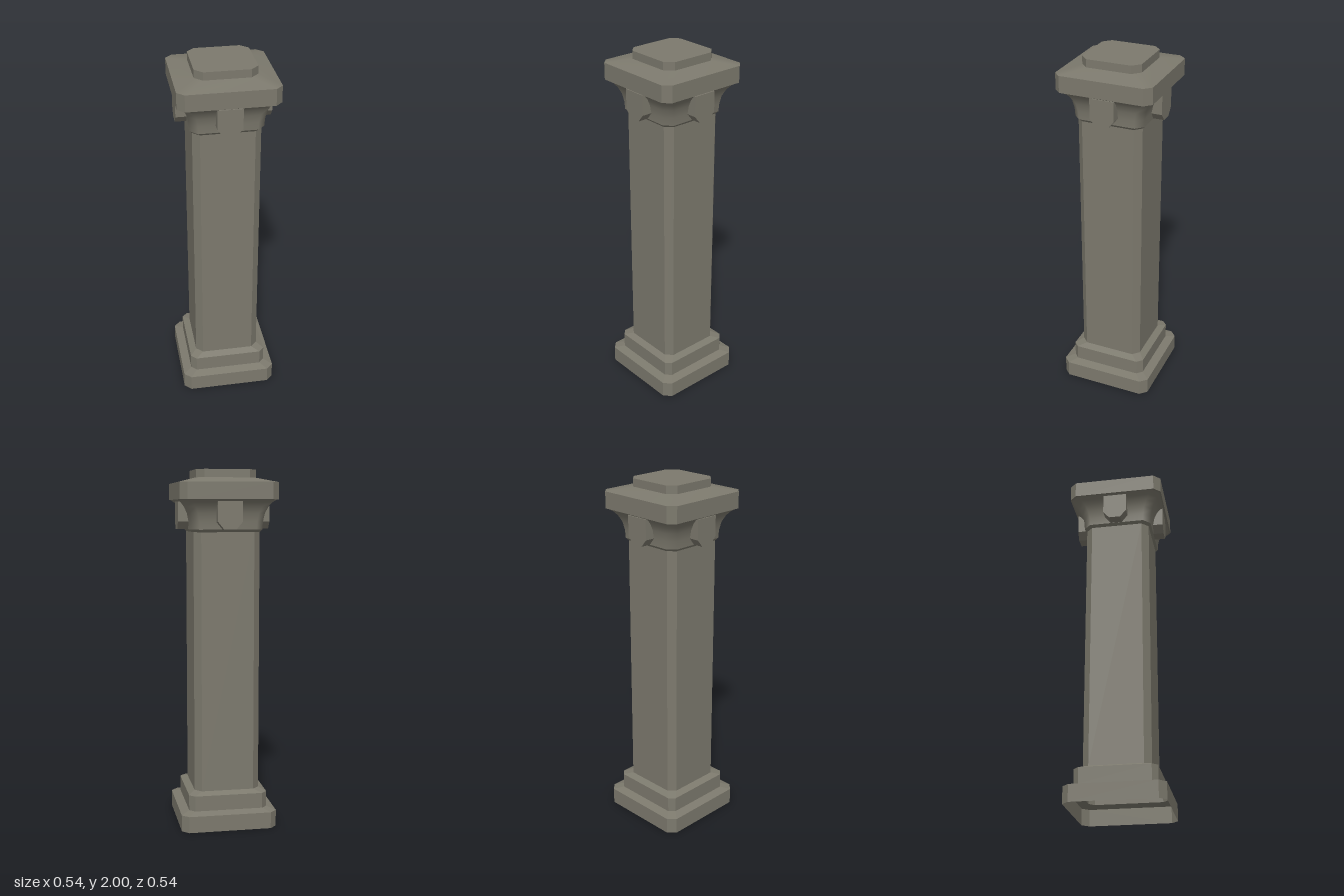
import * as THREE from 'three';

// Corners of a square with chamfered corners: half width a, chamfer c
function ring([a, y, c]) {
  const b = a - c;
  return [[b, a], [a, b], [a, -b], [b, -a], [-b, -a], [-a, -b], [-a, b], [-b, a]]
    .map(([x, z]) => [x, y, z]);
}

// Skin a stack of rings [half width, height, chamfer], listed from bottom to top
function loft(rings, smooth = false, capTop = false) {
  const pos = rings.flatMap(r => ring(r).flat());
  const idx = [];
  for (let i = 0; i < rings.length - 1; i++) {
    for (let j = 0; j < 8; j++) {
      const a = i * 8 + j, b = i * 8 + (j + 1) % 8;
      idx.push(a, b, b + 8, a, b + 8, a + 8);
    }
  }
  if (capTop) {
    const t = (rings.length - 1) * 8;
    for (let j = 1; j < 7; j++) idx.push(t, t + j, t + j + 1);
  }
  let g = new THREE.BufferGeometry();
  g.setAttribute('position', new THREE.Float32BufferAttribute(pos, 3));
  g.setIndex(idx);
  if (!smooth) g = g.toNonIndexed();
  g.computeVertexNormals();
  return g;
}

export function createModel() {
  const model = new THREE.Group();
  model.name = 'pillar';
  const stone = new THREE.MeshStandardMaterial({ color: 0x7c796d, side: THREE.DoubleSide });
  stone.name = 'grey stone';

  const add = (name, geometry, parent = model) => {
    const mesh = new THREE.Mesh(geometry, stone);
    mesh.name = name;
    parent.add(mesh);
    return mesh;
  };

  // Hollow stepped base, open underneath
  add('lowerPlinth', loft([[0.27, 0, 0.038], [0.27, 0.093, 0.038], [0.222, 0.107, 0.03]]));
  add('upperPlinth', loft([[0.222, 0.107, 0.03], [0.222, 0.194, 0.03], [0.184, 0.21, 0.037]]));

  // Long chamfered shaft
  add('shaft', loft([[0.184, 0.21, 0.037], [0.184, 1.662, 0.037]]));

  // Capital: small lip, then a concave flare up to the slab
  add('capitalLip', loft([[0.184, 1.662, 0.037], [0.197, 1.676, 0.04]]));
  add('capitalFlare', loft([
    [0.197, 1.676, 0.04], [0.2, 1.72, 0.041], [0.209, 1.765, 0.042],
    [0.225, 1.8, 0.042], [0.242, 1.822, 0.041], [0.262, 1.837, 0.038],
  ], true));

  // Slab with a shallow sloping top and a raised square block
  add('slab', loft([[0.262, 1.837, 0.038], [0.27, 1.838, 0.038], [0.27, 1.93, 0.038]]));
  add('slabSlope', loft([[0.27, 1.93, 0.038], [0.166, 1.956, 0.042]], true));
  add('topBlock', loft([[0.166, 1.956, 0.042], [0.166, 2, 0.042]], false, true));

  // One tapered bracket on each side of the capital
  const outline = new THREE.Shape([
    [-0.067, 1.828], [-0.067, 1.718], [-0.033, 1.677],
    [0.033, 1.677], [0.067, 1.718], [0.067, 1.828],
  ].map(p => new THREE.Vector2(...p)));
  const bracket = new THREE.ExtrudeGeometry(outline, { depth: 0.072, bevelEnabled: false });
  bracket.translate(0, 0, 0.186);
  ['front', 'left', 'back', 'right'].forEach((side, i) => {
    add(side + 'Bracket', bracket).rotation.y = i * Math.PI / 2;
  });

  return model;
}
